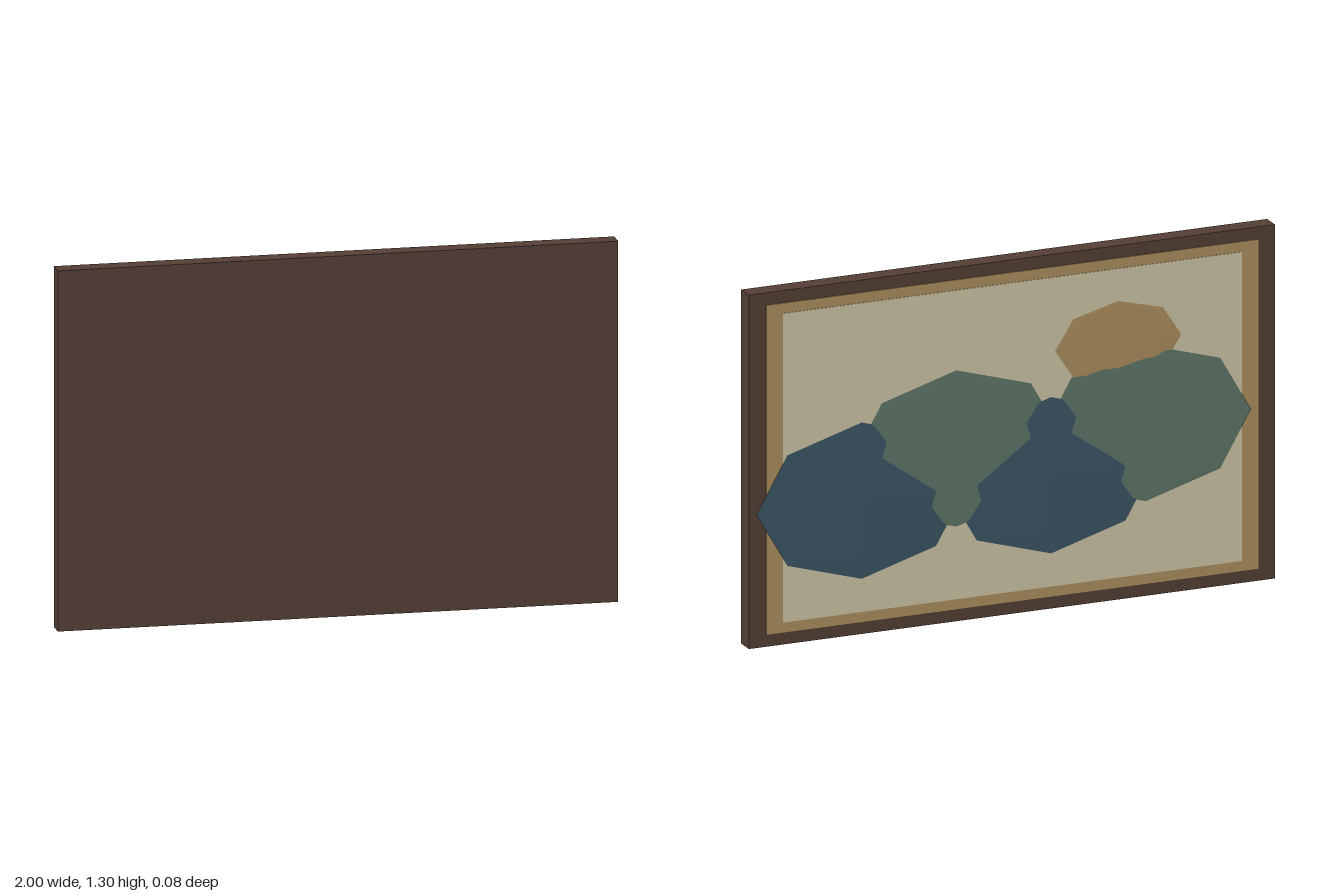
import * as THREE from 'three';

const mat = (color) => new THREE.MeshStandardMaterial({ color, flatShading: true });
const WOOD = mat(0x543f35), GOLD = mat(0xaf905f), CANVAS = mat(0xd1c8a9);
const GREEN = mat(0x607769), NAVY = mat(0x3c5767);

export function createModel() {
  const group = new THREE.Group();
  const midY = 0.65;

  // Slab centred on the panel, spanning zBack..zFront
  const slab = (name, w, h, zBack, zFront, material) => {
    const mesh = new THREE.Mesh(new THREE.BoxGeometry(w, h, zFront - zBack), material);
    mesh.name = name;
    mesh.position.set(0, midY, (zBack + zFront) / 2);
    group.add(mesh);
  };

  // Paper-thin, eight-sided ellipsoid daub floating just behind the canvas
  const daub = (name, x, y, rx, ry, rz, material) => {
    const mesh = new THREE.Mesh(new THREE.SphereGeometry(1, 8, 4), material);
    mesh.name = name;
    mesh.scale.set(rx, ry, rz);
    mesh.position.set(x, y, -0.038);
    group.add(mesh);
  };

  // Frame, gilt border and canvas, each a little prouder than the last
  slab('frame', 2, 1.3, -0.028, 0.04, WOOD);
  slab('giltBorder', 1.87, 1.21, -0.032, -0.02, GOLD);
  slab('canvas', 1.745, 1.135, -0.034, -0.02, CANVAS);

  // Row of overlapping hills in alternating colours, and a sun above them
  for (let i = 0; i < 4; i++) {
    const high = i % 2 === 1;
    daub(high ? 'greenHill' : 'blueHill', 0.575 - 0.36 * i, high ? 0.638 : 0.493,
      0.4, 0.287, 0.002, high ? GREEN : NAVY);
  }
  daub('sun', -0.4, 0.947, 0.24, 0.153, 0.0013, GOLD);

  return group;
}
